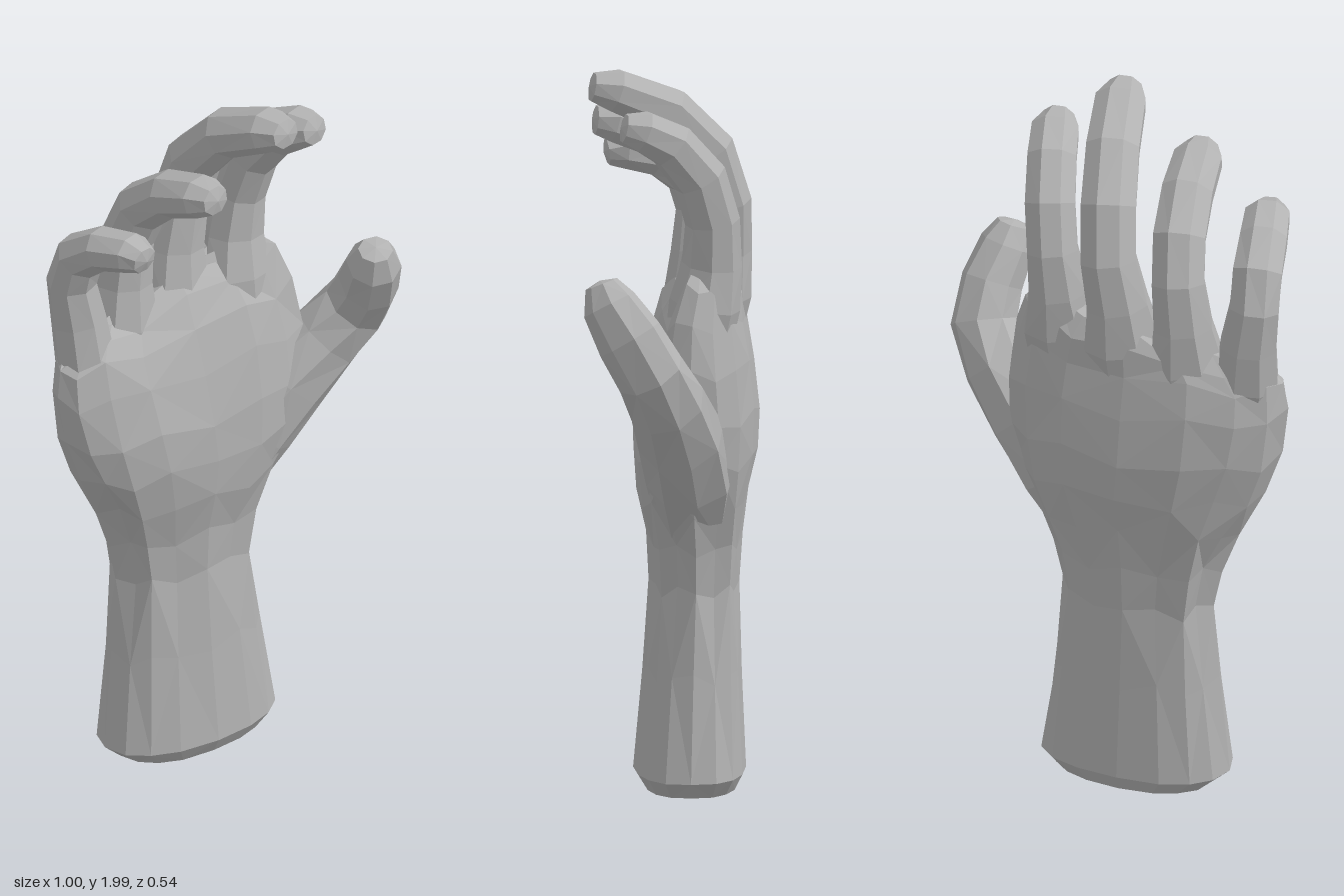
import * as THREE from 'three';

const skin = new THREE.MeshStandardMaterial({ color: 0xb2b2b2, flatShading: true });
skin.name = 'grey clay';

// Skins a list of equal-sized rings and closes both ends with a centre point.
function loft(name, rings, startTip, endTip) {
  const n = rings[0].length;
  const points = [...rings.flat(), startTip, endTip];
  const first = rings.length * n, last = first + 1, top = (rings.length - 1) * n;
  const index = [];
  for (let j = 0; j < n; j++) {
    const k = (j + 1) % n;
    for (let i = 0; i < rings.length - 1; i++) {
      const a = i * n + j, b = i * n + k;
      if ((i + j) % 2) index.push(a, b, b + n, a, b + n, a + n);
      else index.push(a, b, a + n, b, b + n, a + n);
    }
    index.push(first, k, j, last, top + j, top + k);
  }
  const geometry = new THREE.BufferGeometry().setFromPoints(points);
  geometry.setIndex(index);
  geometry.computeVertexNormals();
  const mesh = new THREE.Mesh(geometry, skin);
  mesh.name = name;
  return mesh;
}

// Forearm, wrist and palm: turned, rounded-box sections stacked upward.
function palm() {
  // y, centre x, centre z, half width, half thickness, turn, knuckle slope, tendon depth, bow
  const sections = [
    [0.03, -0.09, -0.055, 0.215, 0.125, 0.35, 0, 0, 0],
    [0.075, -0.093, -0.052, 0.264, 0.15, 0.35, 0, 0, 0],
    [0.35, -0.10, -0.057, 0.235, 0.133, 0.35, 0, 0.03, 0],
    [0.58, -0.105, -0.06, 0.218, 0.122, 0.36, 0, 0.10, 0],
    [0.70, -0.105, -0.06, 0.242, 0.13, 0.36, 0, 0.10, 0],
    [0.82, -0.10, -0.055, 0.29, 0.15, 0.36, 0, 0.04, 0],
    [0.94, -0.10, -0.05, 0.347, 0.165, 0.37, 0, 0, 0.03],
    [1.06, -0.112, -0.05, 0.382, 0.165, 0.37, 0, 0, 0.035],
    [1.20, -0.12, -0.055, 0.398, 0.142, 0.36, 0, 0, 0.04],
    [1.31, -0.127, -0.06, 0.385, 0.113, 0.36, 0.02, 0, 0.045],
    [1.38, -0.127, -0.078, 0.345, 0.086, 0.37, 0.05, 0, 0.05],
    [1.425, -0.13, -0.085, 0.29, 0.048, 0.37, 0.06, 0, 0.05],
  ];
  const n = 16;
  const power = (v) => Math.sign(v) * Math.abs(v) ** 0.84;
  const rings = sections.map(([y, cx, cz, w, t, turn, slope, tendon, bend], i) =>
    Array.from({ length: n }, (_, j) => {
      const a = (j / n) * Math.PI * 2;
      const rough = 1 + 0.012 * Math.sin(i * 5.3 + j * 8.1) + (j % 2 ? -tendon : 0);
      const u = power(Math.cos(a)) * w * rough, v = power(Math.sin(a)) * t * rough;
      const c = Math.cos(turn), s = Math.sin(turn);
      // The knuckle row is bowed backward in the middle.
      const bow = bend * (0.5 - (u / w) ** 2);
      const wave = i > 1 ? 0.018 * Math.sin(j * 2.4 + i) : 0;
      return new THREE.Vector3(cx + u * c - v * s, y + slope * u / w + wave, cz - u * s - v * c - bow);
    }));
  return loft('palmAndForearm', rings, new THREE.Vector3(-0.1, 0, -0.07), new THREE.Vector3(-0.13, 1.42, -0.11));
}

// A finger follows a few joints, each given as x, y, z, half width, half thickness.
function digit(name, joints, sideAxis, n = 8) {
  const at = joints.map(([x, y, z]) => new THREE.Vector3(x, y, z));
  let end;
  const rings = joints.map(([, , , w, t], i) => {
    const along = at[Math.min(i + 1, at.length - 1)].clone().sub(at[Math.max(i - 1, 0)]).normalize();
    const side = sideAxis.clone().addScaledVector(along, -sideAxis.dot(along)).normalize();
    const across = along.clone().cross(side);
    end = at[i].clone().addScaledVector(along, 0.01);
    return Array.from({ length: n }, (_, j) => {
      const a = ((j + 0.5) / n) * Math.PI * 2;
      return at[i].clone().addScaledVector(side, Math.cos(a) * w).addScaledVector(across, Math.sin(a) * t);
    });
  });
  return loft(name, rings, at[0], end);
}

export function createModel() {
  const hand = new THREE.Group();
  hand.name = 'hand';
  hand.add(palm());

  const side = new THREE.Vector3(0.75, 0, -0.66);
  hand.add(
    digit('indexFinger', [
      [0.085, 1.22, -0.13, 0.10, 0.085], [0.08, 1.37, -0.155, 0.112, 0.093], [0.08, 1.48, -0.175, 0.085, 0.08],
      [0.095, 1.60, -0.182, 0.073, 0.074], [0.125, 1.72, -0.158, 0.073, 0.073], [0.175, 1.815, -0.095, 0.071, 0.067],
      [0.222, 1.857, -0.03, 0.068, 0.058], [0.248, 1.868, 0.014, 0.044, 0.04],
    ], side),
    digit('middleFinger', [
      [-0.095, 1.22, -0.095, 0.10, 0.085], [-0.103, 1.37, -0.122, 0.112, 0.093], [-0.10, 1.49, -0.138, 0.088, 0.082],
      [-0.078, 1.62, -0.15, 0.08, 0.077], [-0.048, 1.76, -0.117, 0.08, 0.076], [0.015, 1.875, -0.03, 0.077, 0.069],
      [0.097, 1.938, 0.092, 0.073, 0.06], [0.128, 1.95, 0.146, 0.047, 0.04],
    ], side),
    digit('ringFinger', [
      [-0.26, 1.18, -0.03, 0.10, 0.08], [-0.265, 1.33, -0.045, 0.11, 0.088], [-0.263, 1.45, -0.058, 0.084, 0.078],
      [-0.25, 1.58, -0.063, 0.076, 0.072], [-0.22, 1.69, -0.025, 0.076, 0.072], [-0.168, 1.77, 0.065, 0.074, 0.065],
      [-0.113, 1.81, 0.168, 0.07, 0.057], [-0.087, 1.817, 0.213, 0.046, 0.04],
    ], side),
    digit('littleFinger', [
      [-0.37, 1.14, 0.05, 0.06, 0.06], [-0.40, 1.29, 0.045, 0.09, 0.08], [-0.415, 1.41, 0.035, 0.08, 0.075],
      [-0.435, 1.53, 0.036, 0.071, 0.068], [-0.42, 1.62, 0.065, 0.071, 0.067], [-0.377, 1.675, 0.137, 0.068, 0.06],
      [-0.32, 1.695, 0.215, 0.064, 0.053], [-0.297, 1.69, 0.254, 0.042, 0.037],
    ], side),
    // The thumb starts as the broad pad at the side of the palm.
    digit('thumb', [
      [0.03, 0.74, -0.10, 0.07, 0.09], [0.11, 0.90, -0.125, 0.12, 0.12], [0.215, 1.03, -0.135, 0.12, 0.118],
      [0.325, 1.14, -0.135, 0.102, 0.105], [0.402, 1.235, -0.115, 0.09, 0.095], [0.42, 1.33, -0.062, 0.082, 0.092],
      [0.418, 1.42, -0.003, 0.075, 0.075], [0.416, 1.475, 0.02, 0.047, 0.045],
    ], new THREE.Vector3(1, 0, -0.1)),
  );
  return hand;
}
